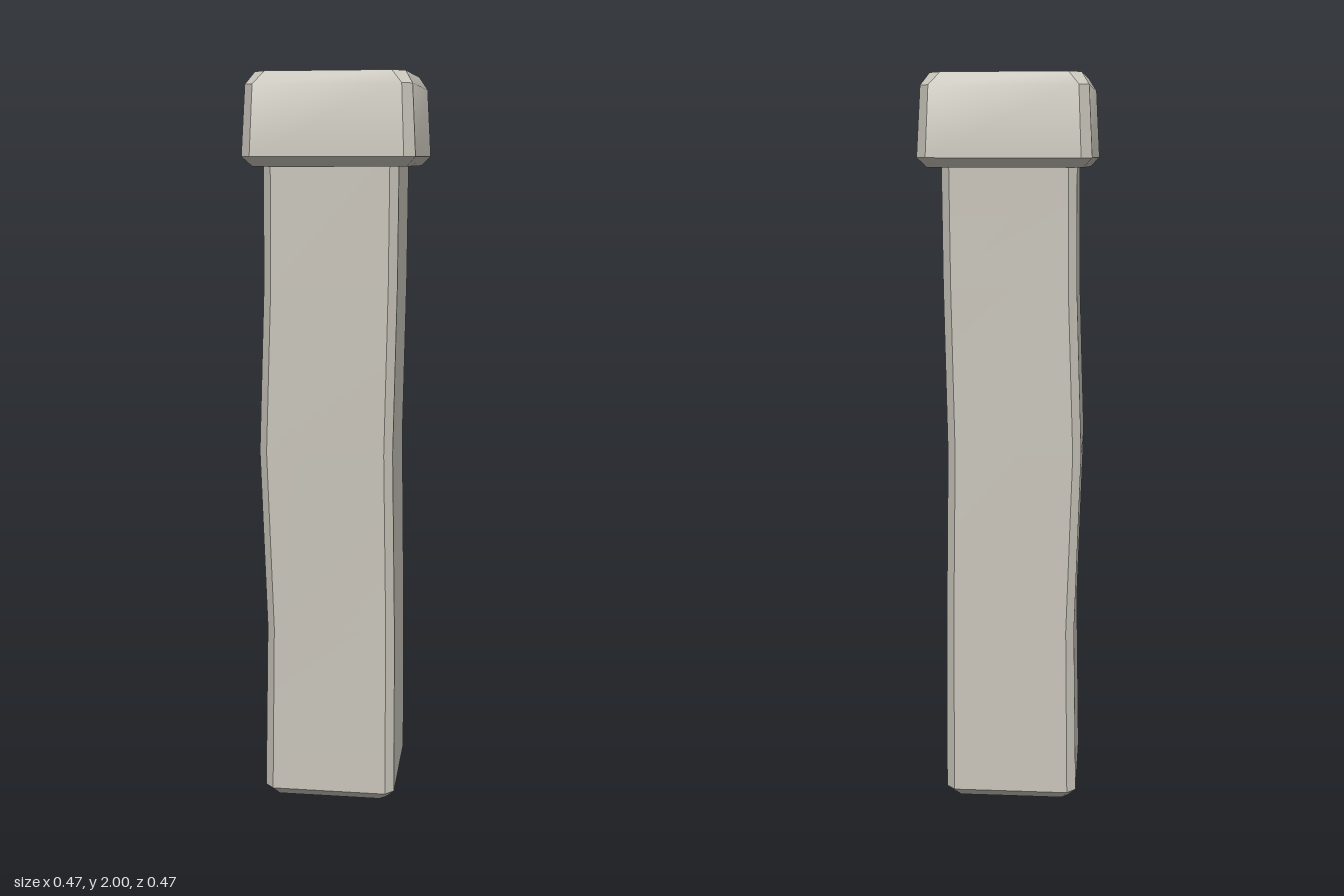
import * as THREE from 'three';
import { toCreasedNormals } from 'three/addons/utils/BufferGeometryUtils.js';

// Loft through chamfered rectangles: [y, xMin, xMax, zMin, zMax, cornerCut]
function loft(sections) {
  const positions = [], index = [], n = 8;
  for (const [y, x0, x1, z0, z1, c] of sections) {
    const ring = [
      [x1, z1 - c], [x1, z0 + c], [x1 - c, z0], [x0 + c, z0],
      [x0, z0 + c], [x0, z1 - c], [x0 + c, z1], [x1 - c, z1],
    ];
    for (const [x, z] of ring) positions.push(x, y, z);
  }
  const last = (sections.length - 1) * n;
  for (let s = 0; s < last; s += n) {
    for (let i = 0; i < n; i++) {
      const a = s + i, b = s + (i + 1) % n;
      index.push(a, b, b + n, a, b + n, a + n);
    }
  }
  // Close both ends
  for (let i = 1; i < n - 1; i++) {
    index.push(0, i + 1, i);
    index.push(last, last + i, last + i + 1);
  }
  const geometry = new THREE.BufferGeometry();
  geometry.setAttribute('position', new THREE.Float32BufferAttribute(positions, 3));
  geometry.setIndex(index);
  return toCreasedNormals(geometry, 0.6);
}

export function createModel() {
  const model = new THREE.Group();
  model.name = 'stonePost';
  const stone = new THREE.MeshStandardMaterial({ color: 0xc9c5bb });
  stone.name = 'paleStone';

  // Slightly uneven shaft with a bevelled foot
  const shaft = new THREE.Mesh(loft([
    [0, -0.17, 0.153, -0.158, 0.166, 0.018],
    [0.025, -0.192, 0.175, -0.18, 0.188, 0.024],
    [0.5, -0.183, 0.172, -0.175, 0.182, 0.022],
    [1.0, -0.198, 0.164, -0.174, 0.19, 0.022],
    [1.45, -0.182, 0.173, -0.168, 0.19, 0.022],
    [1.8, -0.18, 0.175, -0.172, 0.19, 0.022],
  ]), stone);
  shaft.name = 'shaft';
  model.add(shaft);

  // Bevelled cap block, turned a little off square
  const square = (y, h, cut) => [y, -h, h, -h, h, cut];
  const cap = new THREE.Mesh(loft([
    square(1.76, 0.203, 0.022),
    square(1.785, 0.227, 0.027),
    square(1.967, 0.217, 0.025),
    square(2.0, 0.196, 0.032),
  ]), stone);
  cap.name = 'cap';
  cap.rotation.y = -0.035;
  model.add(cap);

  return model;
}
